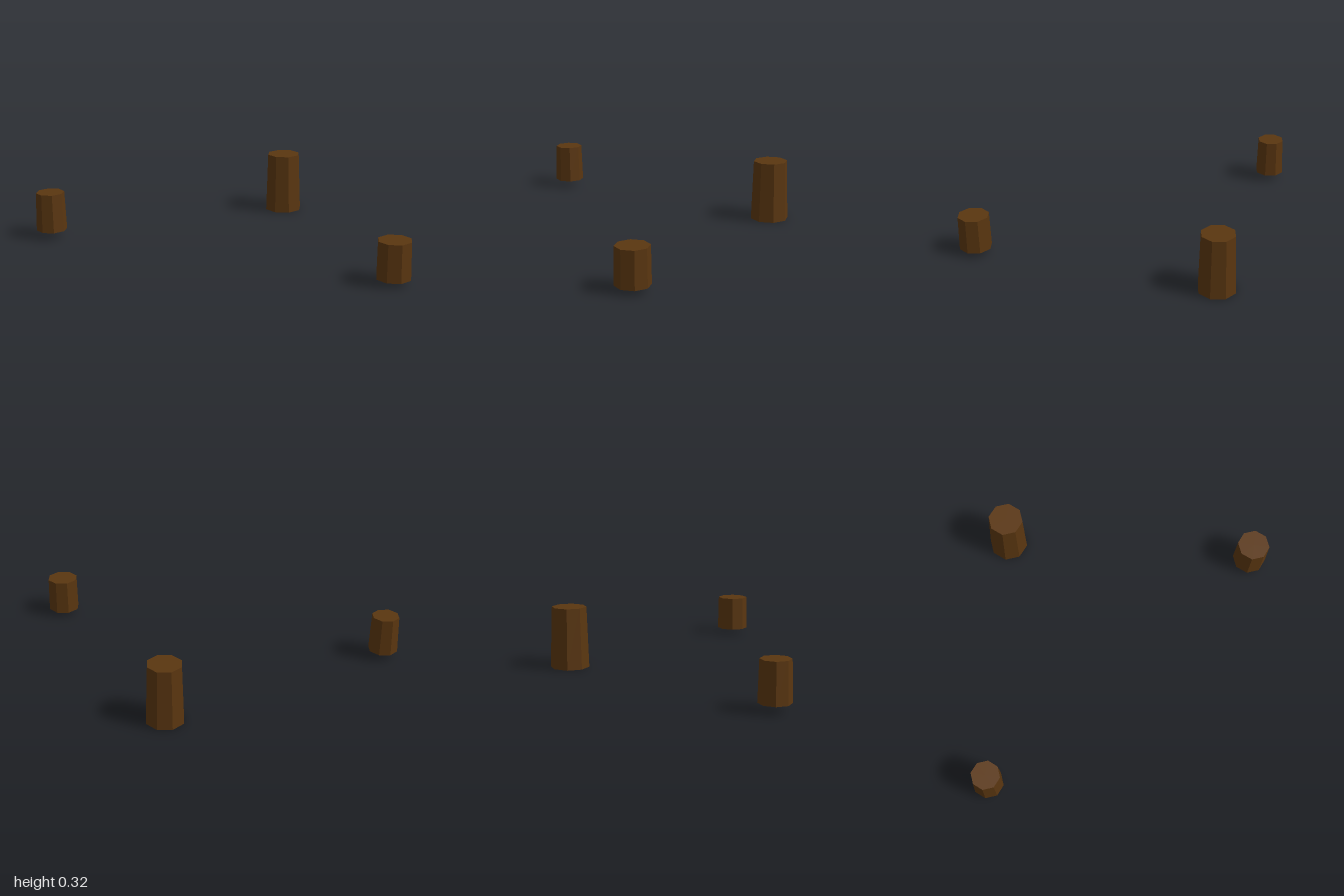
import * as THREE from 'three';

const SIDES = 8;

// A tapered log stump: faceted bark wall, flat top, hollow open underside.
function createStump(material, { name, x, z, bottom, top, rBottom, rTop }) {
  const stump = new THREE.Group();
  stump.name = name;
  stump.position.set(x, bottom, z);
  const height = top - bottom;

  const wallGeometry = new THREE.CylinderGeometry(rTop, rBottom, height, SIDES, 1, true);
  const wall = new THREE.Mesh(wallGeometry.toNonIndexed(), material);
  wall.geometry.computeVertexNormals();
  wall.name = 'barkWall';
  wall.position.y = height / 2;

  const cap = new THREE.Mesh(new THREE.CircleGeometry(rTop, SIDES), material);
  cap.name = 'cutTop';
  cap.rotation.x = -Math.PI / 2;
  cap.position.y = height;

  stump.add(wall, cap);
  return stump;
}

export function createModel() {
  const model = new THREE.Group();
  model.name = 'treeStumps';

  const bark = new THREE.MeshStandardMaterial({
    color: 0x5a3610, flatShading: true, side: THREE.DoubleSide,
  });
  bark.name = 'darkBrownBark';

  const stumps = [
    { name: 'tallBackStump', x: -0.084, z: -0.504, bottom: 0, top: 0.317, rBottom: 0.101, rTop: 0.09 },
    { name: 'rightStump', x: -0.921, z: 0.527, bottom: 0.039, top: 0.24, rBottom: 0.079, rTop: 0.073 },
    { name: 'leftStump', x: 0.914, z: 0.342, bottom: 0.027, top: 0.212, rBottom: 0.086, rTop: 0.083 },
  ];
  for (const spec of stumps) model.add(createStump(bark, spec));
  return model;
}
